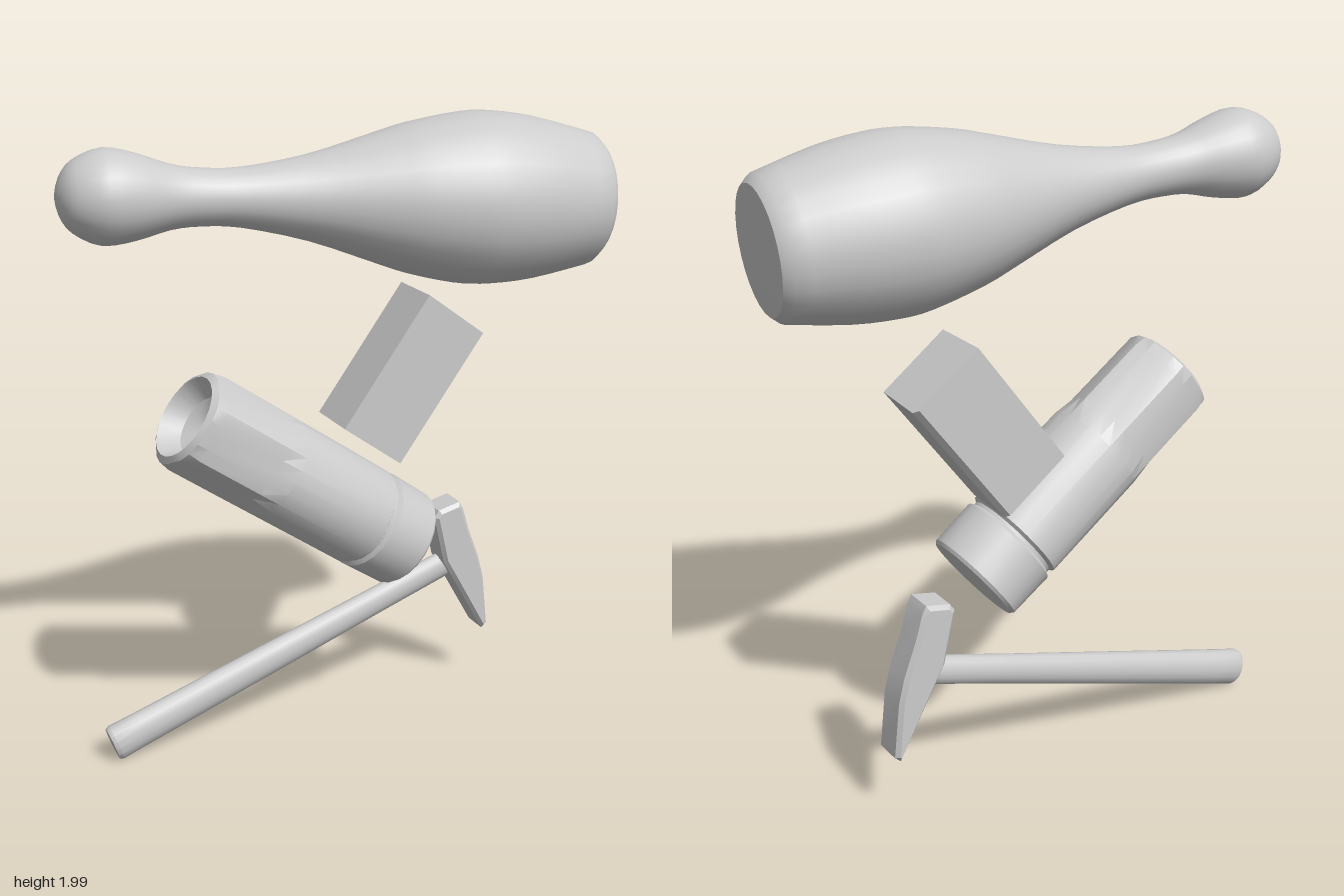
import * as THREE from 'three';
import { toCreasedNormals } from 'three/addons/utils/BufferGeometryUtils.js';

const material = new THREE.MeshStandardMaterial({ color: 0xcccccc });
const UP = new THREE.Vector3(0, 1, 0);

function part(name, geometry, crease = 0.5) {
  const mesh = new THREE.Mesh(toCreasedNormals(geometry, crease), material);
  mesh.name = name;
  return mesh;
}

// Stand a part built along +y at a start point, pointing towards an end point
function aim(mesh, from, to) {
  const a = new THREE.Vector3(...from);
  const b = new THREE.Vector3(...to);
  mesh.quaternion.setFromUnitVectors(UP, b.sub(a).normalize());
  mesh.position.copy(a);
  return mesh;
}

const lathe = (pts, segments) =>
  new THREE.LatheGeometry(pts.map(([r, y]) => new THREE.Vector2(r, y)), segments);

// Skittle: smooth profile from the head to the flat base
function createPin() {
  const profile = new THREE.SplineCurve([
    [0, 0], [0.055, 0.015], [0.1, 0.05], [0.134, 0.13], [0.12, 0.225], [0.092, 0.32],
    [0.082, 0.41], [0.086, 0.53], [0.125, 0.73], [0.188, 0.93], [0.222, 1.04],
    [0.252, 1.19], [0.256, 1.29], [0.242, 1.43], [0.203, 1.61],
  ].map(p => new THREE.Vector2(...p))).getPoints(42).map(p => [Math.max(p.x, 0), p.y]);
  profile.push([0.18, 1.635], [0, 1.638]);
  return aim(part('skittle', lathe(profile, 28), 0.6), [-0.824, 1.829, -0.14], [0.8, 1.717, 0.046]);
}

// Block: slim cross-section with a bevelled back edge, extruded lengthwise
function createBlock() {
  const shape = new THREE.Shape([
    [-0.125, 0.07], [-0.125, 0.255], [0.11, 0.255], [0.125, 0.238], [0.118, 0.07],
  ].map(p => new THREE.Vector2(...p)));
  const geometry = new THREE.ExtrudeGeometry(shape, { depth: 0.486, bevelEnabled: false });
  geometry.rotateX(-Math.PI / 2);
  return aim(part('block', geometry, 0.1), [0.12, 0.975, 0], [0.41, 1.365, 0]);
}

// Grip: round barrel with a six-sided hollow end and a grooved cap
function createGrip() {
  const geometry = lathe([
    [0, 0.1], [0.09, 0.06], [0.13, 0.0], [0.152, 0.012], [0.16, 0.05], [0.161, 0.28],
    [0.161, 0.35], [0.162, 0.715], [0.15, 0.724], [0.15, 0.735], [0.163, 0.744],
    [0.16, 0.89], [0.152, 0.9], [0, 0.9],
  ], 24);
  const pos = geometry.attributes.position;
  for (let i = 0; i < pos.count; i++) {
    const x = pos.getX(i), z = pos.getZ(i), r = Math.hypot(x, z);
    if (pos.getY(i) > 0.3 || r < 0.14) continue;
    const sector = Math.PI / 3, angle = Math.atan2(x, z);
    const offset = angle - Math.round(angle / sector) * sector;
    const k = Math.min(1, 0.145 / Math.cos(offset) / r);
    pos.setX(i, x * k);
    pos.setZ(i, z * k);
  }
  return aim(part('grip', geometry, 0.3), [-0.495, 1.165, -0.089], [0.235, 0.638, -0.089]);
}

// Hammer: oval tapering handle and a wedge-shaped head
function createHammer() {
  const hammer = new THREE.Group();
  hammer.name = 'hammer';

  const handle = part('hammerHandle', lathe([
    [0, 0], [0.056, 0], [0.062, 0.012], [0.06, 0.1], [0.053, 0.6], [0.047, 1.0],
    [0.045, 1.26], [0, 1.26],
  ], 16), 0.6);
  handle.scale.z = 0.7;
  hammer.add(aim(handle, [-0.73, 0.065, -0.212], [0.48, 0.465, -0.205]));

  const bevel = 0.012;
  const outline = new THREE.Shape([
    [0.405, 0.65], [0.415, 0.665], [0.48, 0.68], [0.488, 0.665], [0.512, 0.585],
    [0.552, 0.48], [0.573, 0.4], [0.592, 0.228], [0.588, 0.224], [0.492, 0.4],
    [0.442, 0.49],
  ].map(p => new THREE.Vector2(...p)));
  const geometry = new THREE.ExtrudeGeometry(outline, {
    depth: 0.108 - 2 * bevel, bevelThickness: bevel, bevelSize: bevel, bevelSegments: 1,
  });
  geometry.translate(0, 0, -0.253 + bevel);
  hammer.add(part('hammerHead', geometry, 0.3));
  return hammer;
}

export function createModel() {
  const model = new THREE.Group();
  model.name = 'skittleAndTools';
  model.add(createPin(), createBlock(), createGrip(), createHammer());
  return model;
}
